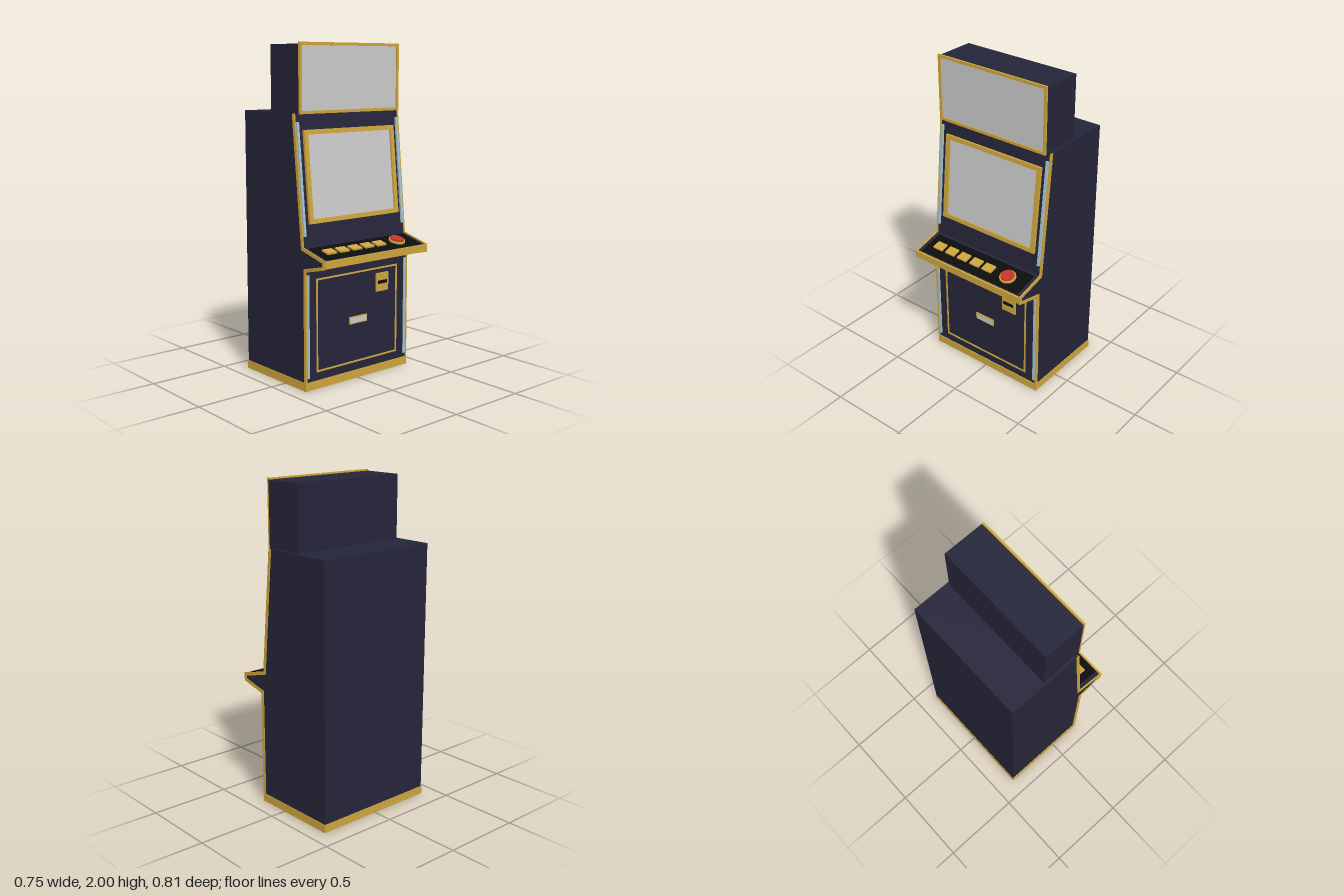
import * as THREE from 'three';

const mat = (name, color) => {
  const m = new THREE.MeshStandardMaterial({ color });
  m.name = name;
  return m;
};

export function createModel() {
  const navy = mat('navy', 0x25253a), gold = mat('gold', 0xcfa63d), black = mat('black', 0x0d0d0d);
  const grey = mat('screen grey', 0xcbcbcb), blue = mat('pale blue', 0xa6c4d0), red = mat('red', 0xc63526);
  const root = new THREE.Group();
  root.name = 'arcadeCabinet';

  const add = (parent, name, geo, material, x = 0, y = 0, z = 0) => {
    const m = new THREE.Mesh(geo, material);
    m.name = name;
    m.position.set(x, y, z);
    parent.add(m);
    return m;
  };
  // Box given by its limits on each axis
  const box = (parent, name, material, x0, x1, y0, y1, z0, z1) =>
    add(parent, name, new THREE.BoxGeometry(x1 - x0, y1 - y0, z1 - z0), material,
      (x0 + x1) / 2, (y0 + y1) / 2, (z0 + z1) / 2);
  const extrude = (points, z0, z1) => {
    const g = new THREE.ExtrudeGeometry(new THREE.Shape(points), { depth: z1 - z0, bevelEnabled: false });
    return g.translate(0, 0, z0);
  };
  // Rectangular frame in the local xy plane
  const frame = (parent, name, material, x0, x1, y0, y1, side, end, z0, z1) => {
    const rect = (T, a, b, c, d) => new T([[a, c], [b, c], [b, d], [a, d]].map(p => new THREE.Vector2(...p)));
    const s = rect(THREE.Shape, x0, x1, y0, y1);
    s.holes.push(rect(THREE.Path, x0 + side, x1 - side, y0 + end, y1 - end));
    const g = new THREE.ExtrudeGeometry(s, { depth: z1 - z0, bevelEnabled: false }).translate(0, 0, z0);
    return add(parent, name, g, material);
  };
  // Group lying on the face that rises from (px, py) to (qx, qy): local y along it, local z outward
  const face = (name, px, py, qx, qy) => {
    const u = new THREE.Vector3(qx - px, qy - py, 0).normalize();
    const g = new THREE.Group();
    g.name = name;
    g.quaternion.setFromRotationMatrix(new THREE.Matrix4().makeBasis(
      new THREE.Vector3(0, 0, -1), u, new THREE.Vector3(u.y, -u.x, 0)));
    g.position.set(px, py, 0);
    root.add(g);
    return g;
  };

  // Cabinet body, its front edge listed from top to bottom
  const edge = [[0.1, 1.605], [0.175, 0.845], [0.364, 0.797], [0.364, 0.757], [0.197, 0.717], [0.197, 0.004]]
    .map(p => new THREE.Vector2(...p));
  const back = [[-0.373, 0.004], [-0.373, 1.605]].map(p => new THREE.Vector2(...p));
  add(root, 'cabinetBody', extrude([...edge, ...back], -0.4, 0.4), navy);

  // Edge trim following the front outline on both sides
  const offset = d => edge.map((p, i) => {
    const normal = (a, b) => new THREE.Vector2(a.y - b.y, b.x - a.x).normalize();
    const n1 = normal(edge[Math.max(i - 1, 0)], edge[Math.max(i, 1)]);
    const k = Math.min(i, edge.length - 2);
    const n2 = normal(edge[k], edge[k + 1]);
    const m = n1.clone().add(n2).normalize();
    return p.clone().addScaledVector(m, d / m.dot(n1));
  });
  const strip = [...offset(0.007), ...offset(-0.013).reverse()];
  add(root, 'leftEdgeTrim', extrude(strip, 0.396, 0.404), gold);
  add(root, 'rightEdgeTrim', extrude(strip, -0.404, -0.396), gold);

  // Base band and console lip
  box(root, 'baseBand', gold, -0.376, 0.202, 0.005, 0.055, -0.404, 0.404);
  box(root, 'consoleLip', gold, 0.36, 0.373, 0.756, 0.799, -0.4, 0.4);

  // Top sign
  box(root, 'topSignBox', navy, -0.135, 0.121, 1.6, 1.99, -0.383, 0.383);
  const sign = face('topSign', 0.121, 1.6, 0.121, 2);
  frame(sign, 'signFrame', gold, -0.383, 0.383, 0, 0.4, 0.017, 0.017, 0, 0.012);
  box(sign, 'signPanel', grey, -0.367, 0.367, 0.016, 0.384, 0, 0.005);

  // Sloping screen panel
  const screen = face('screenPanel', 0.175, 0.845, 0.1, 1.605);
  frame(screen, 'screenBezel', gold, -0.347, 0.35, 0.132, 0.668, 0.028, 0.025, 0, 0.016);
  frame(screen, 'screenInnerBezel', gold, -0.325, 0.328, 0.15, 0.648, 0.008, 0.008, 0, 0.011);
  box(screen, 'screenGlass', grey, -0.322, 0.325, 0.152, 0.646, 0, 0.006);

  // Lower door with its outline, coin slot and name plate
  const door = face('lowerDoor', 0.197, 0, 0.197, 0.717);
  frame(door, 'doorOutline', gold, -0.322, 0.318, 0.105, 0.662, 0.01, 0.01, 0, 0.005);
  box(door, 'coinPlate', gold, 0.142, 0.24, 0.513, 0.626, 0, 0.01);
  box(door, 'coinSlot', black, 0.152, 0.227, 0.56, 0.58, 0.005, 0.013);
  frame(door, 'plateRim', gold, -0.07, 0.068, 0.346, 0.39, 0.005, 0.005, 0, 0.008);
  box(door, 'plate', grey, -0.067, 0.065, 0.349, 0.387, 0, 0.006);

  // Light strips
  for (const s of [-1, 1]) {
    box(screen, 'upperLightStrip', blue, s * 0.384 - 0.008, s * 0.384 + 0.008, 0.065, 0.715, 0, 0.012);
    box(door, 'lowerLightStrip', blue, s * 0.384 - 0.008, s * 0.384 + 0.008, 0.08, 0.692, 0, 0.007);
  }

  // Console deck with five square buttons and one round button
  const deck = face('console', 0.364, 0.797, 0.175, 0.845);
  box(deck, 'deckPlate', black, -0.37, 0.37, 0.013, 0.178, 0, 0.004);
  for (let i = 0; i < 5; i++) {
    const x = -0.287 + i * 0.0958;
    box(deck, 'squareButton', gold, x - 0.035, x + 0.035, 0.065, 0.122, 0, 0.014);
  }
  const disc = (name, r0, r1, h, material) =>
    add(deck, name, new THREE.CylinderGeometry(r0, r1, h, 32).rotateX(Math.PI / 2), material, 0.241, 0.092, h / 2);
  disc('roundButtonRing', 0.05, 0.051, 0.016, gold);
  disc('roundButton', 0.041, 0.044, 0.026, red);

  return root;
}
